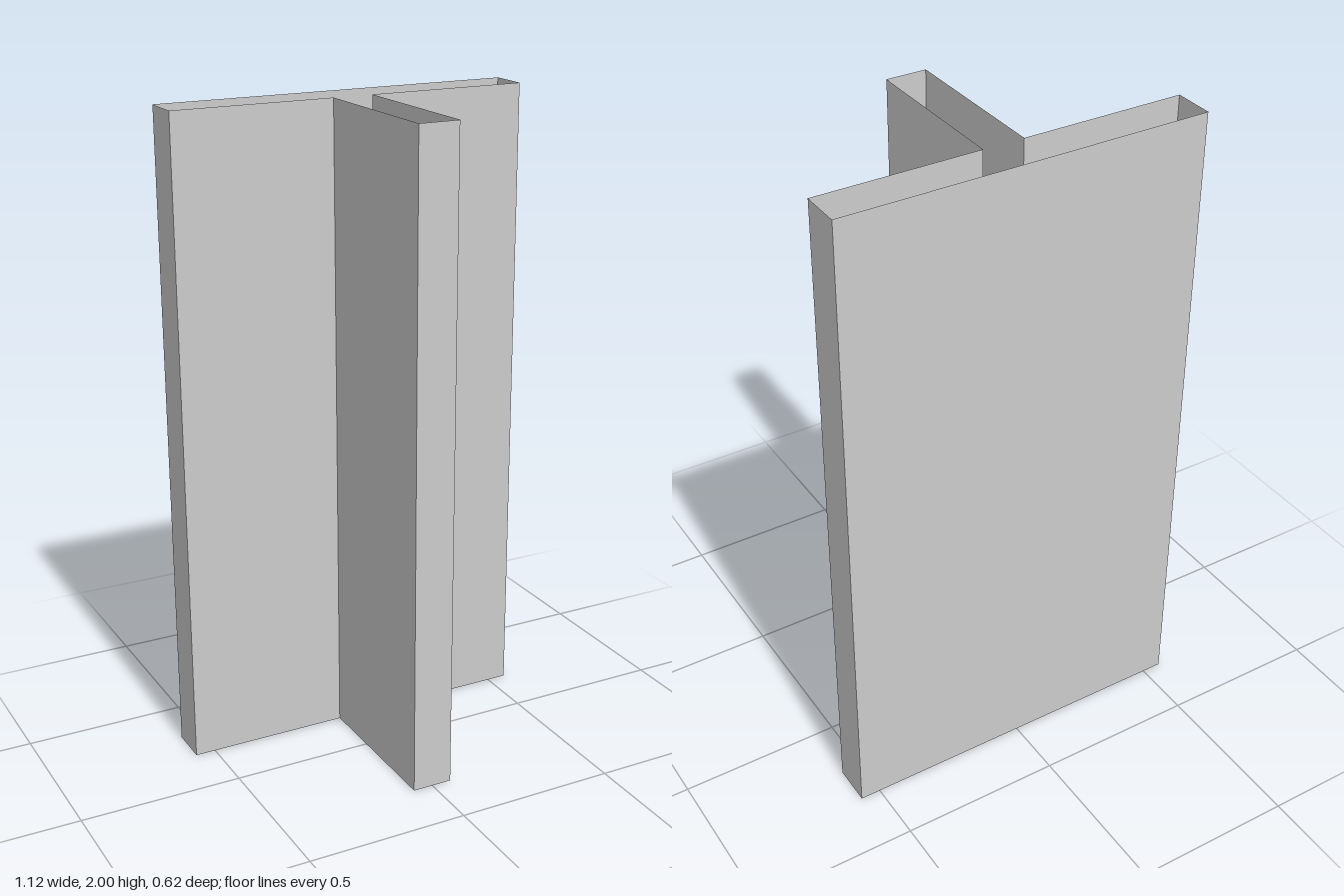
import * as THREE from 'three';

export function createModel() {
  const group = new THREE.Group();
  group.name = 'hollowTeeColumn';
  const material = new THREE.MeshStandardMaterial({ color: 0xcccccc, side: THREE.DoubleSide });

  const height = 2;
  const flange = 0.5625; // half width of the back flange
  const stem = 0.0625;   // half width of the stem
  const back = -0.3125, step = -0.1875, front = 0.3125;

  // T-shaped outline in x, z; one wall stands on each edge, both ends stay open
  const outline = [
    ['stemFrontWall', -stem, front],
    ['stemLeftWall', stem, front],
    ['flangeFrontLeftWall', stem, step],
    ['flangeLeftWall', flange, step],
    ['flangeBackWall', flange, back],
    ['flangeRightWall', -flange, back],
    ['flangeFrontRightWall', -flange, step],
    ['stemRightWall', -stem, step],
  ];

  outline.forEach(([name, x, z], i) => {
    const [, nextX, nextZ] = outline[(i + 1) % outline.length];
    const dx = nextX - x, dz = nextZ - z;
    const wall = new THREE.Mesh(new THREE.PlaneGeometry(Math.hypot(dx, dz), height), material);
    wall.name = name;
    wall.position.set((x + nextX) / 2, height / 2, (z + nextZ) / 2);
    wall.rotation.y = Math.atan2(-dz, dx);
    group.add(wall);
  });

  return group;
}
